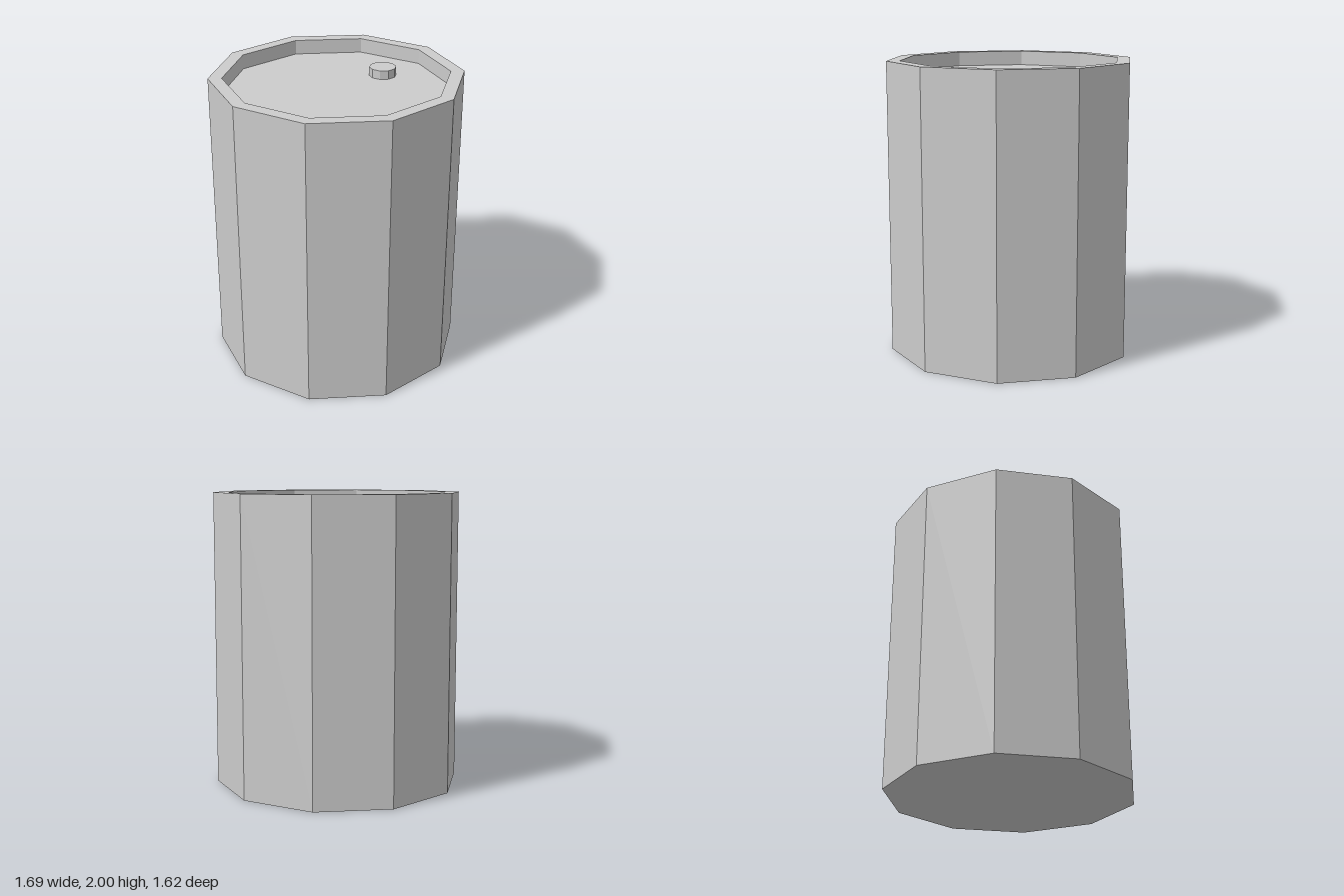
import * as THREE from 'three';

const SIDES = 10;
const TURN = THREE.MathUtils.degToRad(91.85); // puts the corners slightly off the x axis

const material = new THREE.MeshStandardMaterial({ color: 0xcccccc, flatShading: true });

// Ten-sided part turned from an [radius, y] profile, listed from bottom to top
function turned(name, profile) {
  const points = profile.map(([r, y]) => new THREE.Vector2(r, y));
  const geometry = new THREE.LatheGeometry(points, SIDES, TURN).toNonIndexed();
  geometry.computeVertexNormals();
  const mesh = new THREE.Mesh(geometry, material);
  mesh.name = name;
  return mesh;
}

export function createModel() {
  const group = new THREE.Group();
  group.name = 'barrel';

  const radius = 0.843, height = 2, innerRadius = 0.752, lidY = 1.9;

  // Bottom, wall and raised rim
  group.add(turned('drumBody', [
    [0, 0], [radius, 0], [radius, height], [innerRadius, height], [innerRadius, lidY],
  ]));

  // Sunken lid
  group.add(turned('lid', [[innerRadius, lidY], [0, lidY]]));

  // Filler cap, off centre towards the back
  const cap = turned('fillerCap', [[0.092, 0], [0.092, 0.06], [0, 0.06]]);
  cap.position.set(0.114, lidY, -0.392);
  group.add(cap);

  return group;
}
